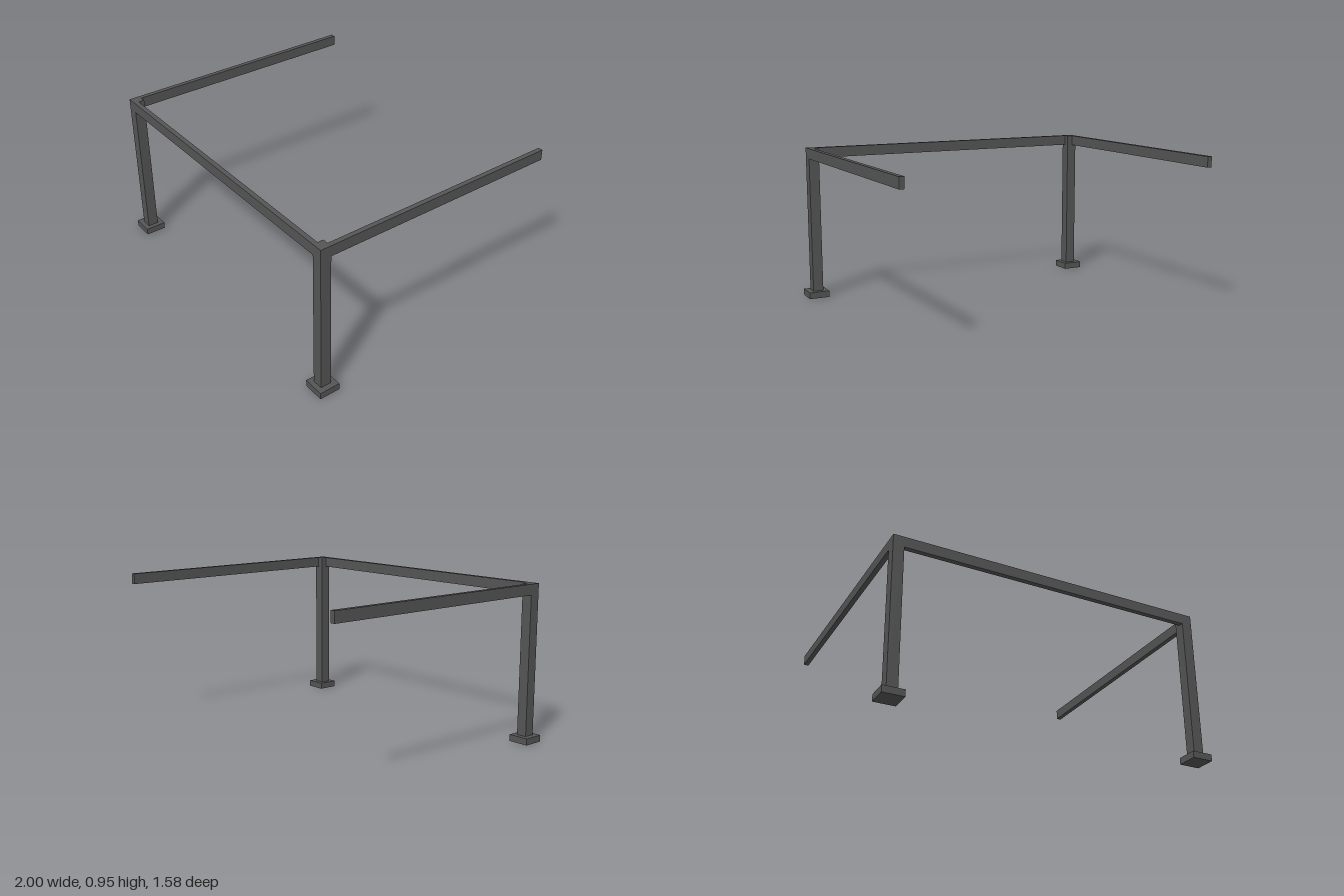
import * as THREE from 'three';

export function createModel() {
  const group = new THREE.Group();
  const material = new THREE.MeshStandardMaterial({ color: 0x555555 });

  // Box given by its min and max corners
  function box(name, [x0, y0, z0], [x1, y1, z1]) {
    const mesh = new THREE.Mesh(new THREE.BoxGeometry(x1 - x0, y1 - y0, z1 - z0), material);
    mesh.position.set((x0 + x1) / 2, (y0 + y1) / 2, (z0 + z1) / 2);
    mesh.name = name;
    group.add(mesh);
  }

  const top = 0.946, beamBottom = 0.882, padTop = 0.04;
  const inner = 0.902, outer = 0.966;       // post extent in x
  const back = 0.697, front = 0.762;        // post extent in z
  const beam = 0.029;                       // beam thickness

  // Foot pad, post and side beam, mirrored left and right
  for (const [side, s] of [['left', 1], ['right', -1]]) {
    const pair = (name, x0, x1, y0, y1, z0, z1) =>
      box(side + name, [Math.min(s * x0, s * x1), y0, z0], [Math.max(s * x0, s * x1), y1, z1]);
    pair('FootPad', 0.873, 1, 0, padTop, 0.665, 0.791);
    pair('Post', inner, outer, padTop, top, back, front);
    pair('SideBeam', outer - beam, outer, beamBottom, top, -0.791, back);
  }

  // Front beam spanning between the posts
  box('frontBeam', [-inner, beamBottom, front - beam], [inner, top, front]);

  return group;
}
